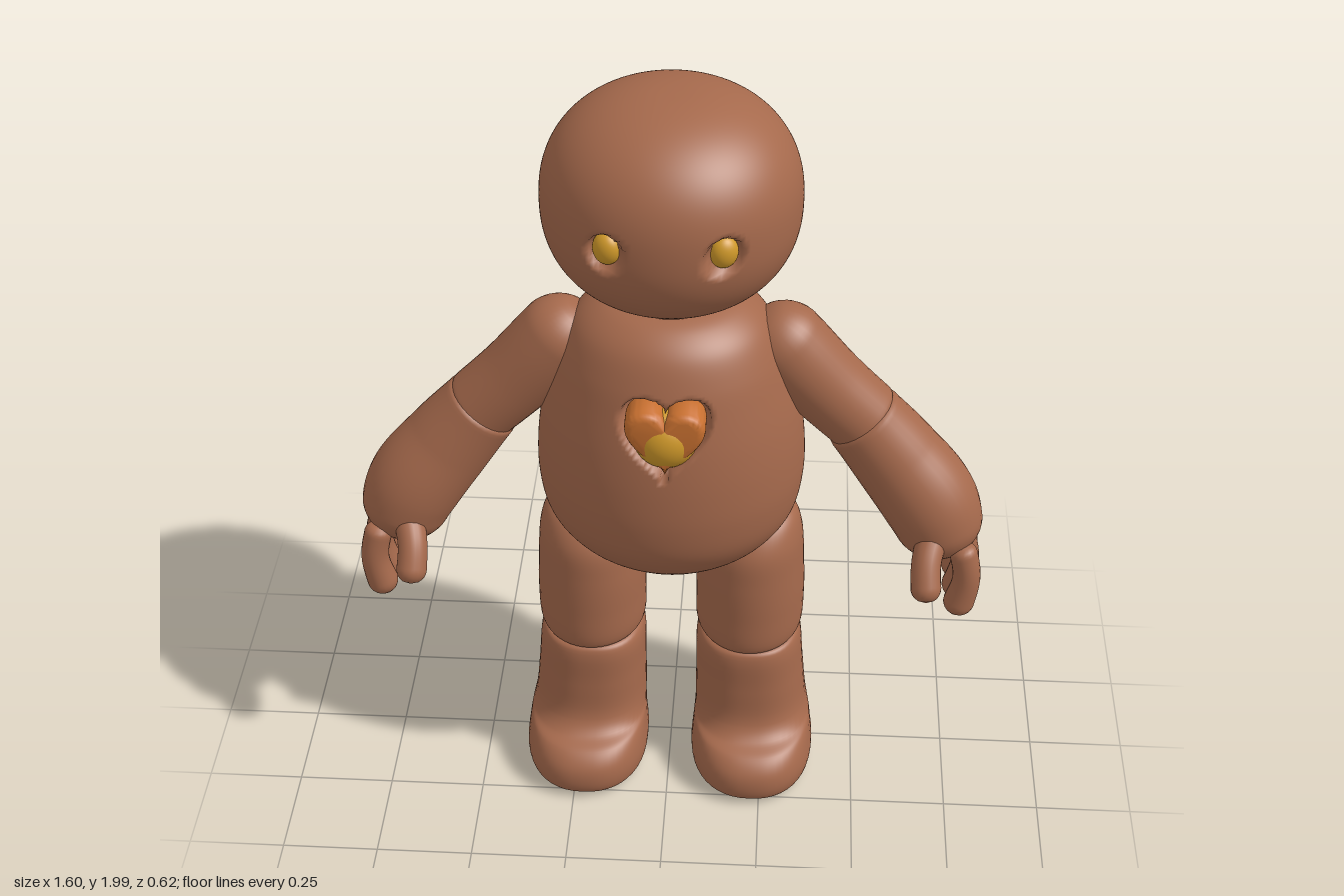
import * as THREE from 'three';
import { mergeVertices, toCreasedNormals } from 'three/addons/utils/BufferGeometryUtils.js';

const clay = new THREE.MeshStandardMaterial({ color: 0xa5694c });
clay.name = 'clay brown';
const amber = new THREE.MeshStandardMaterial({ color: 0xd0992a });
amber.name = 'amber yellow';
const orange = new THREE.MeshStandardMaterial({ color: 0xc87030 });
orange.name = 'burnt orange';

function mesh(name, geometry, material = clay) {
  const m = new THREE.Mesh(geometry, material);
  m.name = name;
  return m;
}

function weld(g) {
  g.deleteAttribute('uv');
  g.deleteAttribute('normal');
  const w = mergeVertices(g, 1e-5);
  w.computeVertexNormals();
  return w;
}

// Smooth stack of horizontal superellipses, bottom to top: [y, x0, x1, z0, z1]
function loft(rings, { rows = 50, cols = 48, n = 2, dent = null } = {}) {
  const centre = new THREE.CatmullRomCurve3(rings.map(([y, a, b, c, d]) => new THREE.Vector3((a + b) / 2, y, (c + d) / 2)));
  const size = new THREE.CatmullRomCurve3(rings.map(([y, a, b, c, d]) => new THREE.Vector3((b - a) / 2, y, (d - c) / 2)));
  const pos = [], idx = [];
  const pw = (v) => Math.sign(v) * Math.abs(v) ** (2 / n);
  for (let i = 0; i <= rows; i++) {
    const c = centre.getPoint(i / rows), s = size.getPoint(i / rows);
    for (let j = 0; j < cols; j++) {
      const t = (j / cols) * Math.PI * 2;
      const x = c.x + s.x * pw(Math.cos(t)), y = s.y;
      let z = c.z + s.z * pw(Math.sin(t));
      if (dent && z > 0.1) z -= dent(x, y);
      pos.push(x, y, z);
      if (i < rows) {
        const a = i * cols + j, d = i * cols + (j + 1) % cols;
        idx.push(a, a + cols, d, a + cols, d + cols, d);
      }
    }
  }
  const g = new THREE.BufferGeometry();
  g.setAttribute('position', new THREE.Float32BufferAttribute(pos, 3));
  g.setIndex(idx);
  return weld(g);
}

// Round limb along a path with varying radius and rounded ends
function limb(points, radii, cap0, cap1, segs = 48, sides = 32) {
  const path = new THREE.CatmullRomCurve3(points.map((p) => new THREE.Vector3(...p)));
  const len = path.getLength();
  const g = new THREE.TubeGeometry(path, segs, 1, sides);
  const rad = new THREE.SplineCurve(radii.map((r, i) => new THREE.Vector2(i, r)));
  const round = (d, c) => (d >= c ? 1 : Math.sqrt(Math.max(0, 1 - (1 - d / c) ** 2)));
  const p = g.attributes.position, v = new THREE.Vector3();
  for (let i = 0; i <= segs; i++) {
    const u = i / segs, c = path.getPointAt(u);
    const r = rad.getPoint(u).y * round(u * len, cap0) * round((1 - u) * len, cap1);
    for (let j = 0; j <= sides; j++) {
      const k = i * (sides + 1) + j;
      v.fromBufferAttribute(p, k).sub(c).multiplyScalar(r).add(c);
      p.setXYZ(k, v.x, v.y, v.z);
    }
  }
  return weld(g);
}

function ball(name, material, [x, y, z], [rx, ry, rz]) {
  const m = mesh(name, new THREE.SphereGeometry(1, 32, 24), material);
  m.position.set(x, y, z);
  m.scale.set(rx, ry, rz);
  return m;
}

const round = (y, r, k = 1) => [y, -r * k, r * k, -r, r];
const HEART = { x: 0.108, y: 0.085, cy: 1.195 };

export function createModel() {
  const model = new THREE.Group();
  model.name = 'clayFigure';

  // Head with two shallow eye sockets
  const headRings = [];
  for (let i = 0; i <= 24; i++) {
    const a = (i / 24 - 0.5) * Math.PI;
    const e = (v) => Math.sign(v) * Math.abs(v) ** 0.87;
    headRings.push(round(1.735 + 0.265 * e(Math.sin(a)), 0.31 * e(Math.max(0, Math.cos(a)))));
  }
  const socket = (x, y) => {
    const f = ((Math.abs(x) - 0.133) / 0.045) ** 2 + ((y - 1.735) / 0.05) ** 2;
    return 0.035 * (1 - THREE.MathUtils.smoothstep(f, 0.45, 1.1));
  };
  model.add(mesh('head', loft(headRings, { rows: 96, cols: 160, dent: socket })));

  // Neck
  const neck = mesh('neck', new THREE.CylinderGeometry(0.115, 0.12, 0.12, 48));
  neck.position.y = 1.47;
  model.add(neck);

  // Pear-shaped torso with a heart-shaped hollow
  const hollow = (x, y) => {
    const u = x / HEART.x, v = (y - HEART.cy) / HEART.y;
    const f = u * u + (v - 0.75 * Math.sqrt(Math.abs(u))) ** 2;
    return 0.05 * (1 - THREE.MathUtils.smoothstep(f, 0.75, 1.1));
  };
  const torso = [
    [0.65, 0], [0.655, 0.06], [0.68, 0.125], [0.73, 0.19], [0.79, 0.25], [0.86, 0.288], [0.95, 0.303],
    [1.05, 0.302], [1.15, 0.29], [1.25, 0.268], [1.33, 0.245], [1.4, 0.212], [1.44, 0.17], [1.46, 0.12], [1.465, 0],
  ].map(([y, r]) => round(y, r, 1.11));
  model.add(mesh('torso', loft(torso, { rows: 130, cols: 200, dent: hollow })));

  // Heart: bevelled body with a domed centre
  const outline = [];
  for (let i = 0; i < 64; i++) {
    const t = (i / 64) * Math.PI * 2 - Math.PI / 2, u = Math.cos(t);
    const v = Math.sin(t) + 0.75 * Math.sqrt(Math.abs(u));
    outline.push(new THREE.Vector2(u * HEART.x * 0.9, v * HEART.y * 0.9));
  }
  const heartGeo = new THREE.ExtrudeGeometry(new THREE.Shape(outline), {
    depth: 0.05, bevelSize: 0.02, bevelOffset: -0.02, bevelThickness: 0.025, bevelSegments: 4,
  });
  const heart = mesh('heart', toCreasedNormals(heartGeo, 0.7), orange);
  heart.position.set(0, HEART.cy + 0.003, 0.222);
  model.add(heart);
  model.add(ball('heartCentre', amber, [0, 1.208, 0.24], [0.08, 0.08, 0.071]));

  for (const s of [1, -1]) {
    const side = s > 0 ? 'left' : 'right';
    const mx = (pts) => pts.map(([x, y, z]) => [x * s, y, z]);
    const mr = (rings) => rings.map(([y, a, b, c, d]) => (s > 0 ? [y, a, b, c, d] : [y, -b, -a, c, d]));

    // Eye
    const eye = ball(side + 'Eye', amber, [s * 0.132, 1.735, 0.246], [0.034, 0.04, 0.028]);
    eye.rotation.y = s * 0.4;
    model.add(eye);

    // Arm
    const arm = new THREE.Group();
    arm.name = side + 'Arm';
    arm.add(mesh('upperArm', limb(
      mx([[0.215, 1.4, -0.015], [0.28, 1.315, -0.015], [0.38, 1.2, -0.015], [0.5, 1.08, -0.015]]),
      [0.1, 0.104, 0.1, 0.098], 0.1, 0.03)));
    arm.add(mesh('forearm', limb(
      mx([[0.462, 1.118, -0.015], [0.57, 0.985, -0.005], [0.665, 0.86, 0.02], [0.715, 0.715, 0.04]]),
      [0.1, 0.114, 0.122, 0.1], 0.025, 0.09)));
    [0.108, 0.032, -0.04].forEach((z, i) => {
      const tip = i === 1 ? 0.565 : 0.572;
      arm.add(mesh('finger', limb(
        mx([[0.745, 0.79, z * 0.8 + 0.01], [0.764, 0.69, z], [0.742, tip, z]]),
        [0.036, 0.036, 0.042], 0.03, 0.042, 30, 20)));
    });
    arm.add(mesh('thumb', limb(
      mx([[0.672, 0.82, 0.09], [0.655, 0.765, 0.15], [0.658, 0.68, 0.205]]),
      [0.04, 0.038, 0.04], 0.03, 0.04, 30, 20)));
    model.add(arm);

    // Leg
    const leg = new THREE.Group();
    leg.name = side + 'Leg';
    leg.add(mesh('thigh', loft(mr([
      [0.425, 0.21, 0.211, 0, 0.001], [0.427, 0.09, 0.33, -0.135, 0.14], [0.445, 0.072, 0.346, -0.15, 0.157],
      [0.55, 0.067, 0.352, -0.152, 0.162], [0.66, 0.07, 0.348, -0.15, 0.16], [0.75, 0.085, 0.342, -0.14, 0.15],
      [0.81, 0.13, 0.325, -0.1, 0.11], [0.835, 0.18, 0.29, -0.05, 0.06], [0.84, 0.23, 0.231, 0, 0.001],
    ]))));
    leg.add(mesh('shinAndFoot', loft(mr([
      [0.008, 0.22, 0.221, 0.06, 0.061], [0.009, 0.1, 0.355, -0.125, 0.25], [0.025, 0.067, 0.383, -0.15, 0.279],
      [0.06, 0.06, 0.39, -0.155, 0.287], [0.105, 0.063, 0.385, -0.155, 0.277], [0.138, 0.066, 0.38, -0.153, 0.245],
      [0.155, 0.068, 0.375, -0.152, 0.2], [0.19, 0.068, 0.368, -0.151, 0.17], [0.3, 0.069, 0.357, -0.15, 0.16],
      [0.41, 0.072, 0.346, -0.149, 0.157], [0.43, 0.085, 0.335, -0.138, 0.145], [0.434, 0.21, 0.211, 0, 0.001],
    ]), { rows: 66, n: 2.3 })));
    model.add(leg);
  }
  return model;
}
